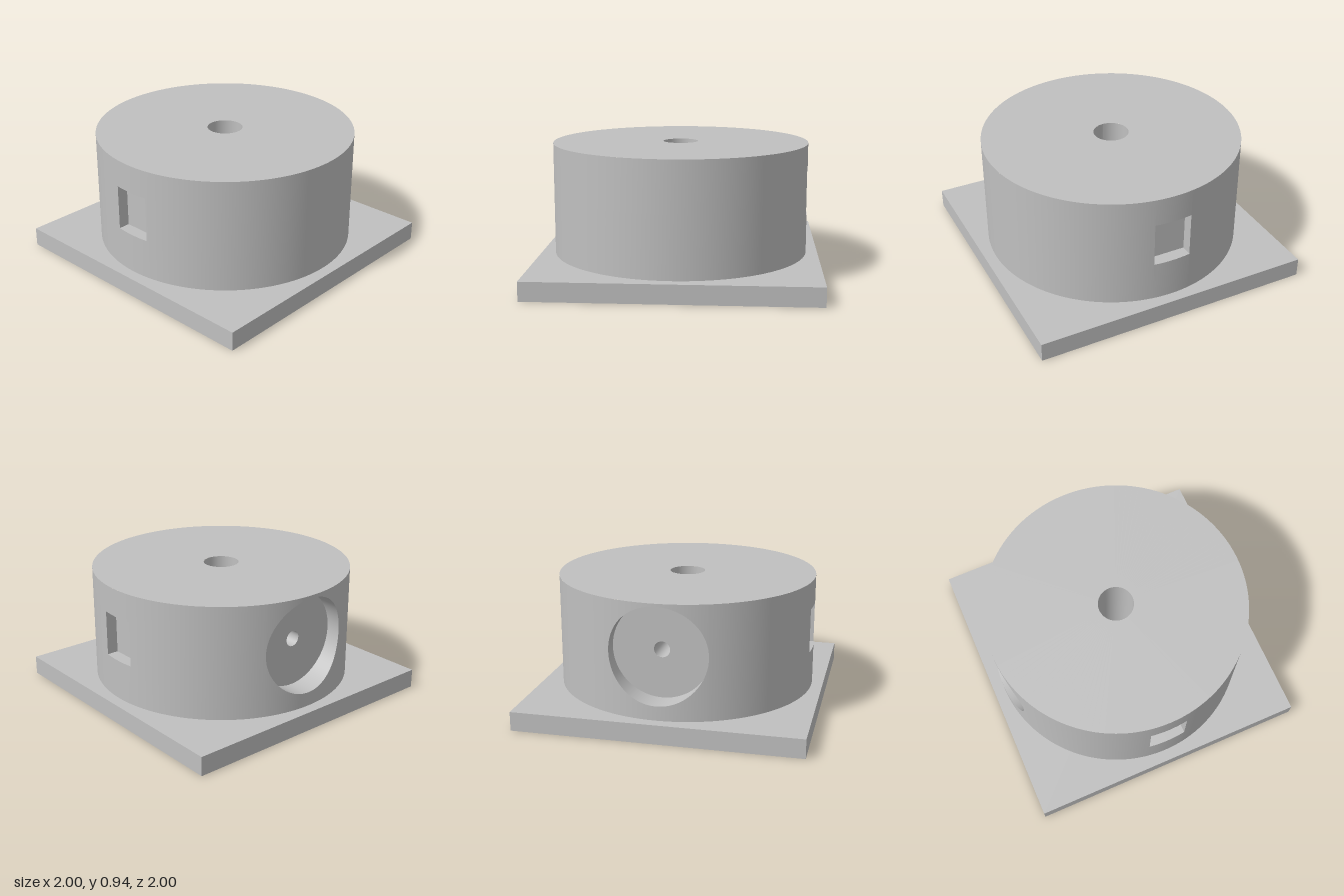
import * as THREE from 'three';
import { mergeGeometries, mergeVertices } from 'three/addons/utils/BufferGeometryUtils.js';

const R = 0.92, BASE = 0.135, TOP = 0.935;     // drum radius, bottom and top
const SHAFT = 0.125;                           // vertical bore radius
const PORT = { r: 0.34, y: 0.575, x: -0.75 };  // round recess in the right side
const HOLE = { r: 0.055, x: -0.13 };           // small bore in the recess floor
const WIN = { w: 0.135, lo: 0.42, hi: 0.738, z: 0.83 }; // square pockets

// Surface ruled between two curves a(u) and b(u), u from 0 to 1
function strip(a, b, n) {
  const pos = [], index = [];
  for (let i = 0; i <= n; i++) {
    pos.push(...a(i / n), ...b(i / n));
    if (i < n) {
      const k = i * 2;
      index.push(k, k + 2, k + 3, k, k + 3, k + 1);
    }
  }
  const g = new THREE.BufferGeometry();
  g.setAttribute('position', new THREE.Float32BufferAttribute(pos, 3));
  g.setIndex(index);
  g.computeVertexNormals();
  return g;
}

export function createModel() {
  const model = new THREE.Group();
  const grey = new THREE.MeshStandardMaterial({ color: 0xc0c0c0 });
  grey.name = 'grey';
  const add = (name, geometry, parent = model) => {
    const mesh = new THREE.Mesh(geometry, grey);
    mesh.name = name;
    parent.add(mesh);
    return mesh;
  };

  // Square base plate
  add('basePlate', new THREE.BoxGeometry(2, BASE, 2)).position.y = BASE / 2;

  // Drum wall, in angular panels that leave gaps for the openings
  const wall = [];
  const at = (t, y) => [R * Math.sin(t), y, R * Math.cos(t)];
  const panel = (angle, gap, n) => {
    wall.push(strip(u => at(angle(u), BASE), u => at(angle(u), gap(u)[0]), n));
    wall.push(strip(u => at(angle(u), gap(u)[1]), u => at(angle(u), TOP), n));
  };
  const range = (a, b) => u => a + (b - a) * u;
  const mid = () => [PORT.y, PORT.y];
  const window = () => [WIN.lo, WIN.hi];
  const round = u => {
    const h = PORT.r * Math.sin(Math.PI * u);
    return [PORT.y - h, PORT.y + h];
  };
  const tw = Math.asin(WIN.w / R), tp = Math.asin(PORT.r / R), PI = Math.PI;
  panel(range(-tw, tw), window, 8);
  panel(range(tw, PI - tw), mid, 64);
  panel(range(PI - tw, PI + tw), window, 8);
  panel(range(PI + tw, 1.5 * PI - tp), mid, 28);
  panel(u => 1.5 * PI + Math.asin(-PORT.r * Math.cos(PI * u) / R), round, 48);
  panel(range(1.5 * PI + tp, 2 * PI - tw), mid, 28);
  const wallGeometry = mergeGeometries(wall);
  wallGeometry.deleteAttribute('normal');
  const smoothWall = mergeVertices(wallGeometry, 1e-4);
  smoothWall.computeVertexNormals();
  add('drumWall', smoothWall);

  // Top face and central bore
  const ring = new THREE.RingGeometry(SHAFT, R, 128).rotateX(-PI / 2);
  add('drumTop', ring).position.y = TOP;
  const bore = y => u => [SHAFT * Math.sin(2 * PI * u), y, SHAFT * Math.cos(2 * PI * u)];
  add('centreBore', strip(bore(TOP), bore(BASE), 48));

  // Round recess with a small bore in its floor
  const circle = (r, x) => u => {
    const z = r * Math.sin(2 * PI * u);
    return [x ?? -Math.sqrt(R * R - z * z), PORT.y + r * Math.cos(2 * PI * u), z];
  };
  const port = new THREE.Group();
  port.name = 'roundRecess';
  model.add(port);
  add('recessWall', strip(circle(PORT.r, PORT.x), circle(PORT.r), 96), port);
  add('recessFloor', strip(circle(HOLE.r, PORT.x), circle(PORT.r, PORT.x), 96), port);
  add('smallBore', strip(circle(HOLE.r, HOLE.x), circle(HOLE.r, PORT.x), 32), port);
  add('smallBoreEnd', strip(circle(0, HOLE.x), circle(HOLE.r, HOLE.x), 32), port);

  // Square pockets, front and back
  const floorX = y => u => [WIN.w * (2 * u - 1), y, WIN.z];
  const rimX = y => u => at(tw * (2 * u - 1), y);
  const floorY = s => u => [s * WIN.w, WIN.lo + (WIN.hi - WIN.lo) * u, WIN.z];
  const rimY = s => u => at(s * tw, WIN.lo + (WIN.hi - WIN.lo) * u);
  for (const [name, turn] of [['frontPocket', 0], ['backPocket', PI]]) {
    const pocket = new THREE.Group();
    pocket.name = name;
    pocket.rotation.y = turn;
    model.add(pocket);
    add('pocketFloor', strip(floorX(WIN.lo), floorX(WIN.hi), 1), pocket);
    add('pocketSill', strip(rimX(WIN.lo), floorX(WIN.lo), 8), pocket);
    add('pocketHead', strip(floorX(WIN.hi), rimX(WIN.hi), 8), pocket);
    add('pocketRightSide', strip(floorY(-1), rimY(-1), 1), pocket);
    add('pocketLeftSide', strip(rimY(1), floorY(1), 1), pocket);
  }
  return model;
}
